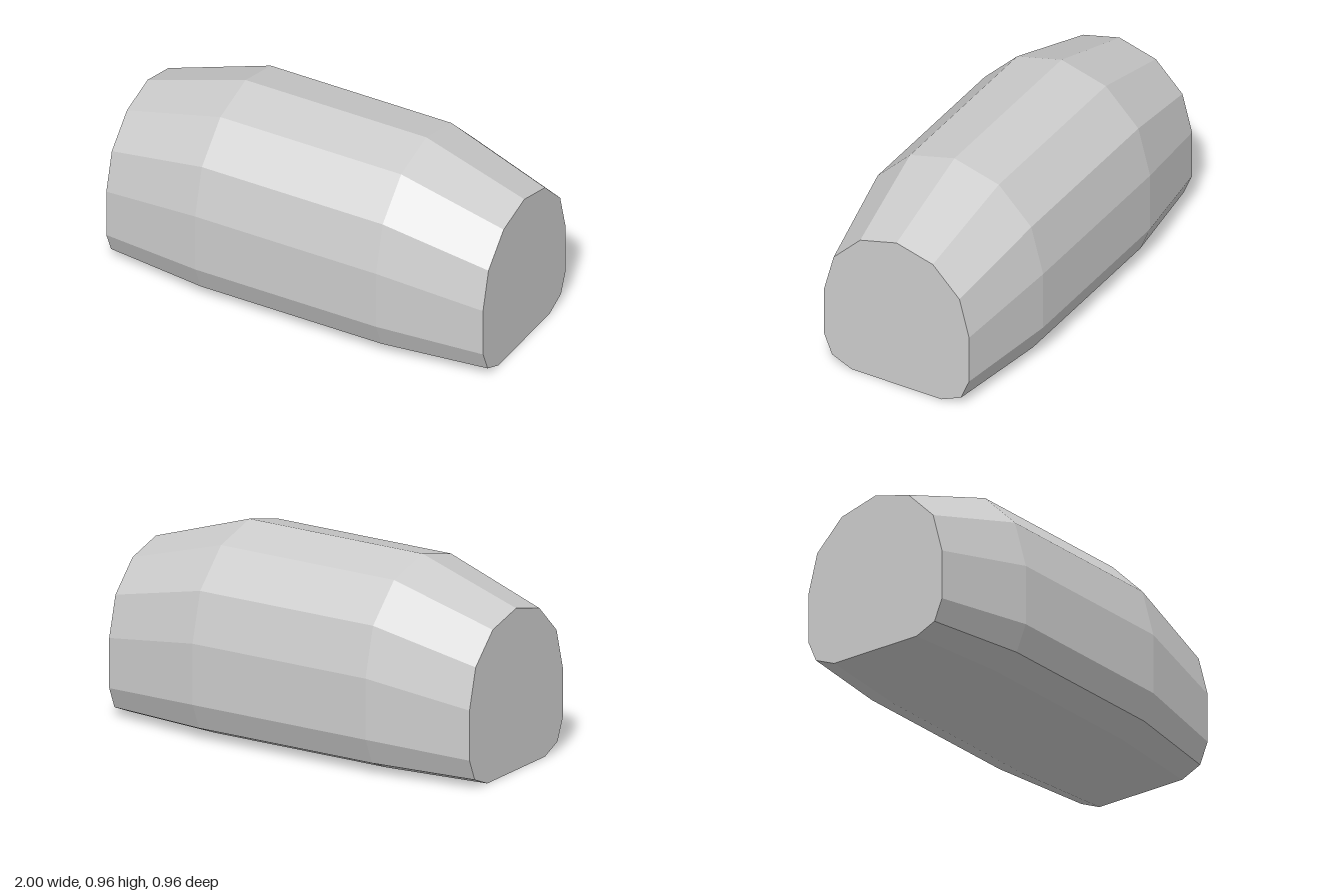
import * as THREE from 'three';

// Half of the cross-section as [z, y], from the crown down to the flat base
const HALF = [[0, 0.962], [0.24, 0.898], [0.416, 0.722], [0.48, 0.482], [0.48, 0.184], [0.426, 0.056], [0.297, 0]];
// Sections along the length as [x, scale]; the scale shrinks towards the base
const SECTIONS = [[-1, 0.819], [-0.48, 1], [0.48, 1], [1, 0.819]];

function barrelGeometry() {
  // Mirror the half profile into a closed ring
  const ring = [...HALF, ...HALF.slice(1).reverse().map(([z, y]) => [-z, y])];
  const n = ring.length;
  const positions = [];
  const indices = [];

  for (const [x, s] of SECTIONS) {
    for (const [z, y] of ring) positions.push(x, y * s, z * s);
  }

  // Facets between neighbouring sections
  for (let k = 0; k < SECTIONS.length - 1; k++) {
    for (let i = 0; i < n; i++) {
      const a = k * n + i;
      const d = k * n + (i + 1) % n;
      indices.push(a, d, d + n, a, d + n, a + n);
    }
  }

  // Flat end caps
  const last = (SECTIONS.length - 1) * n;
  for (let i = 1; i < n - 1; i++) {
    indices.push(0, i + 1, i);
    indices.push(last, last + i, last + i + 1);
  }

  const indexed = new THREE.BufferGeometry();
  indexed.setAttribute('position', new THREE.Float32BufferAttribute(positions, 3));
  indexed.setIndex(indices);
  const geometry = indexed.toNonIndexed();
  geometry.computeVertexNormals();
  return geometry;
}

export function createModel() {
  const group = new THREE.Group();
  group.name = 'facetedBarrel';

  const material = new THREE.MeshStandardMaterial({ color: 0xcccccc, flatShading: true });
  const body = new THREE.Mesh(barrelGeometry(), material);
  body.name = 'barrelBody';
  group.add(body);

  return group;
}
